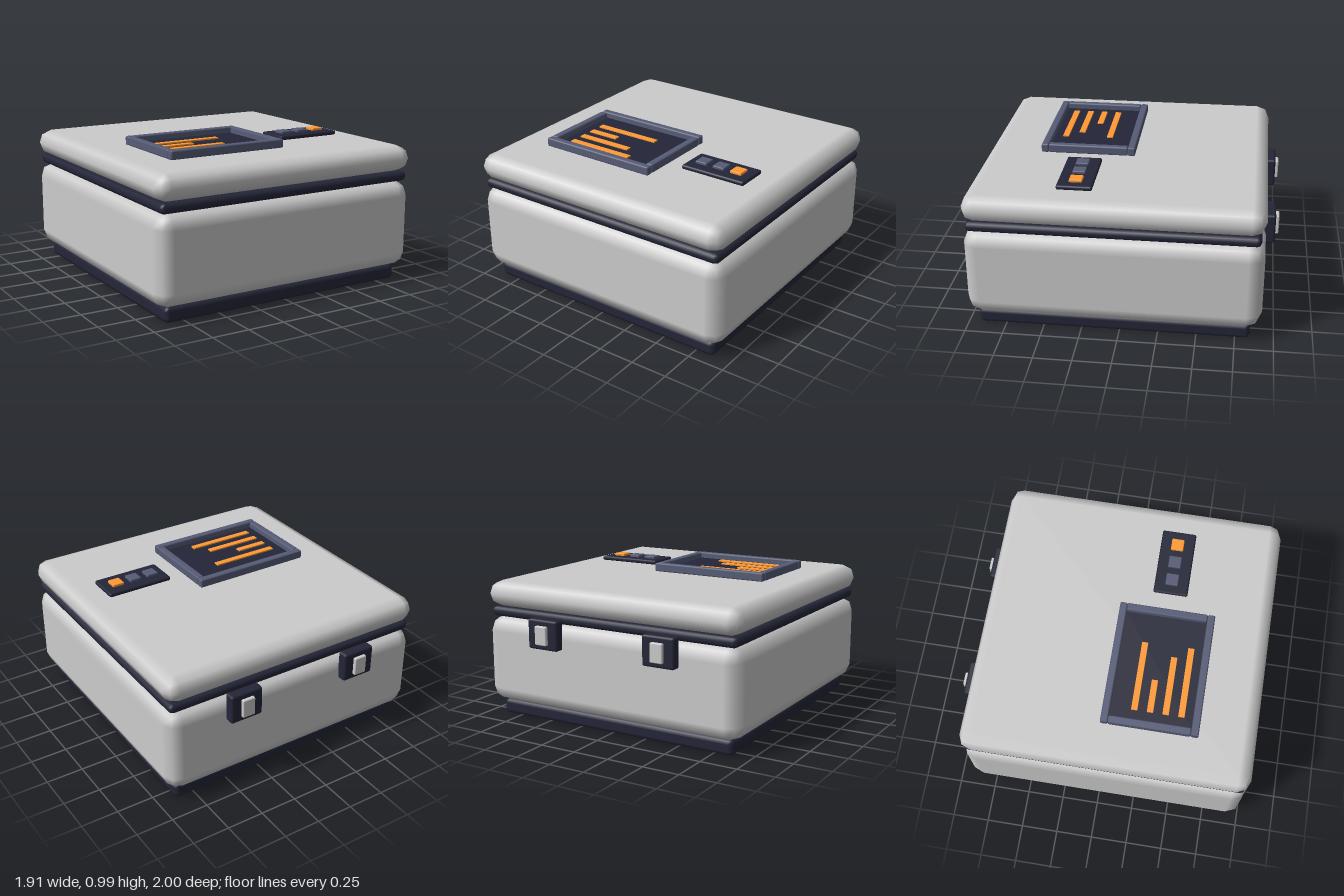
import * as THREE from 'three';

const material = (color) => new THREE.MeshStandardMaterial({ color });

// Box with two-step rounded edges, given as [min, max] ranges per axis
function bevelBox(xr, yr, zr, radius) {
  const half = [xr, yr, zr].map(([a, b]) => (b - a) / 2);
  const mid = [xr, yr, zr].map(([a, b]) => (a + b) / 2);
  const r = Math.min(radius, ...half);
  const geometry = new THREE.BoxGeometry(1, 1, 1, 3, 3, 3);
  const { position, normal } = geometry.attributes;
  const n = new THREE.Vector3();
  for (let i = 0; i < position.count; i++) {
    const c = [position.getX(i), position.getY(i), position.getZ(i)];
    // Outer grid lines bend round the edge, inner ones bound the flat faces
    n.set(...c.map((v) => (Math.abs(v) > 0.4 ? Math.sign(v) : 0))).normalize();
    const p = c.map((v, k) => mid[k] + Math.sign(v) * (half[k] - r) + n.getComponent(k) * r);
    position.setXYZ(i, ...p);
    normal.setXYZ(i, n.x, n.y, n.z);
  }
  return geometry;
}

export function createModel() {
  const model = new THREE.Group();
  model.name = 'equipmentCase';

  const grey = material(0xcccccc);
  const dark = material(0x242638);
  const slate = material(0x565c76);
  const orange = material(0xff9a33);

  const add = (name, mat, x, y, z, radius, parent = model) => {
    const mesh = new THREE.Mesh(bevelBox(x, y, z, radius), mat);
    mesh.name = name;
    parent.add(mesh);
  };
  const group = (name) => {
    const g = new THREE.Group();
    g.name = name;
    model.add(g);
    return g;
  };

  // Case shells
  add('base', dark, [-0.885, 0.885], [0, 0.105], [-0.845, 0.93], 0.03);
  add('body', grey, [-0.957, 0.957], [0.1, 0.695], [-0.917, 1], 0.1);
  add('seal', dark, [-0.93, 0.93], [0.69, 0.757], [-0.89, 0.975], 0.03);
  add('lid', grey, [-0.957, 0.957], [0.755, 0.932], [-0.917, 1], 0.1);

  // Display with a raised frame
  const display = group('display');
  add('screen', dark, [-0.63, 0.13], [0.925, 0.95], [0.02, 0.58], 0.005, display);
  for (const z of [-0.02, 0.57]) {
    add('frameRail', slate, [-0.67, 0.17], [0.93, 0.99], [z, z + 0.05], 0.01, display);
  }
  for (const x of [-0.67, 0.12]) {
    add('frameSide', slate, [x, x + 0.05], [0.93, 0.99], [0.03, 0.57], 0.01, display);
  }

  // Lines on the screen, each as [right end, back edge]
  for (const [end, z] of [[-0.08, 0.165], [-0.33, 0.268], [-0.155, 0.37], [-0.075, 0.473]]) {
    add('screenLine', orange, [-0.553, end], [0.945, 0.96], [z, z + 0.042], 0.002, display);
  }

  // Button panel
  const controls = group('controls');
  add('controlPanel', dark, [0.29, 0.755], [0.935, 0.965], [0.183, 0.415], 0.012, controls);
  [slate, slate, orange].forEach((mat, i) => {
    const x = 0.348 + i * 0.131;
    add('button', mat, [x, x + 0.083], [0.955, 0.982], [0.255, 0.34], 0.006, controls);
  });

  // Latches on the back
  for (const x of [-0.438, 0.436]) {
    const latch = group('latch');
    add('latchBody', dark, [x - 0.115, x + 0.115], [0.53, 0.73], [-0.977, -0.905], 0.015, latch);
    add('latchButton', grey, [x - 0.045, x + 0.045], [0.565, 0.692], [-1, -0.955], 0.008, latch);
  }

  return model;
}
